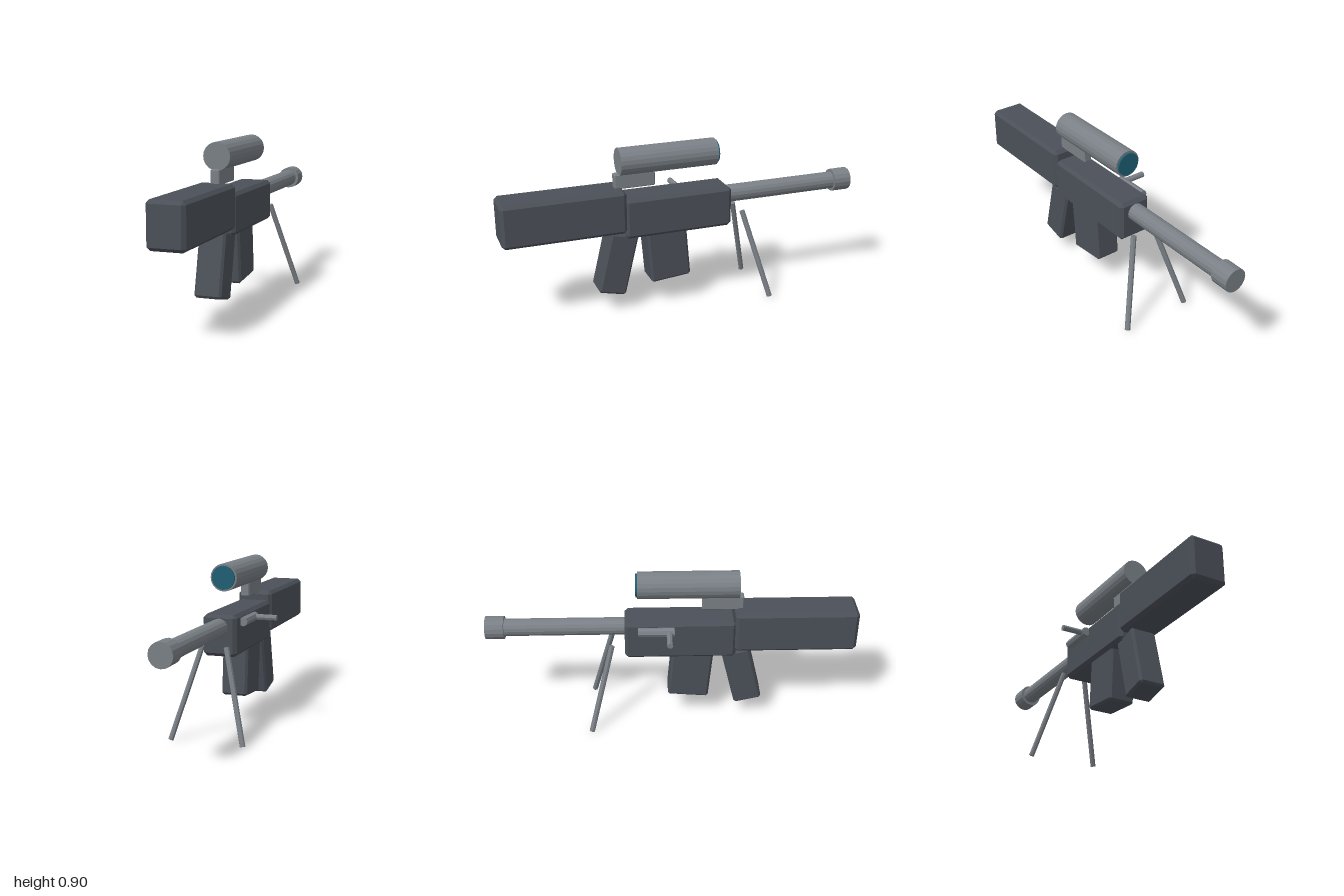
import * as THREE from 'three';
import { ConvexGeometry } from 'three/addons/geometries/ConvexGeometry.js';

const CX = 0.012; // centre line of the body

function material(color) {
  return new THREE.MeshStandardMaterial({ color, flatShading: true });
}

// Box with bevelled edges: each corner becomes three points
function bevelBox(w, h, d, b) {
  const points = [];
  for (const sx of [-1, 1]) for (const sy of [-1, 1]) for (const sz of [-1, 1]) {
    const [x, y, z] = [sx * w / 2, sy * h / 2, sz * d / 2];
    points.push(
      new THREE.Vector3(x, y - sy * b, z - sz * b),
      new THREE.Vector3(x - sx * b, y, z - sz * b),
      new THREE.Vector3(x - sx * b, y - sy * b, z)
    );
  }
  return new ConvexGeometry(points);
}

export function createModel() {
  const group = new THREE.Group();
  const dark = material(0x4b5058);
  const metal = material(0x7a8086);
  const glass = material(0x1f5f73);

  function block(name, mat, size, position, bevel, tilt = 0) {
    const mesh = new THREE.Mesh(bevelBox(...size, bevel), mat);
    mesh.name = name;
    mesh.position.set(...position);
    mesh.rotation.x = tilt;
    group.add(mesh);
  }

  // Cylinder running from one point to another
  function rod(name, mat, from, to, radius, sides) {
    const a = new THREE.Vector3(...from);
    const b = new THREE.Vector3(...to);
    const dir = b.clone().sub(a);
    const mesh = new THREE.Mesh(new THREE.CylinderGeometry(radius, radius, dir.length(), sides), mat);
    mesh.name = name;
    mesh.position.copy(a).add(b).multiplyScalar(0.5);
    mesh.quaternion.setFromUnitVectors(new THREE.Vector3(0, 1, 0), dir.normalize());
    group.add(mesh);
  }

  // Body
  block('stock', dark, [0.197, 0.236, 0.66], [CX, 0.574, 0.67], 0.018);
  block('receiver', dark, [0.185, 0.222, 0.6], [CX, 0.531, 0.048], 0.018);
  block('grip', dark, [0.146, 0.345, 0.155], [CX, 0.275, 0.388], 0.012, -0.235);
  block('magazine', dark, [0.146, 0.32, 0.225], [CX, 0.306, 0.104], 0.012, 0.087);

  // Barrel and muzzle
  rod('barrel', metal, [CX, 0.575, -0.2], [CX, 0.575, -0.95], 0.048, 16);
  rod('muzzle', metal, [CX, 0.575, -0.9], [CX, 0.575, -1], 0.063, 16);

  // Scope on its mount
  block('scopeMount', metal, [0.048, 0.08, 0.222], [CX, 0.724, 0.275], 0.005);
  rod('scope', metal, [CX, 0.828, 0.36], [CX, 0.828, -0.18], 0.073, 20);
  rod('scopeLens', glass, [CX, 0.828, -0.16], [CX, 0.828, -0.19], 0.063, 20);

  // Bolt on the right side
  rod('bolt', metal, [-0.095, 0.601, 0.015], [-0.095, 0.601, -0.18], 0.025, 8);
  rod('boltHandle', metal, [-0.085, 0.602, -0.012], [-0.229, 0.602, -0.012], 0.016, 8);

  // Bipod legs, mirrored about the centre line
  for (const [name, s] of [['leftLeg', 1], ['rightLeg', -1]]) {
    rod(name, metal, [CX + s * 0.066, 0.488, -0.323], [CX + s * 0.197, 0.006, -0.446], 0.015, 8);
  }

  return group;
}
